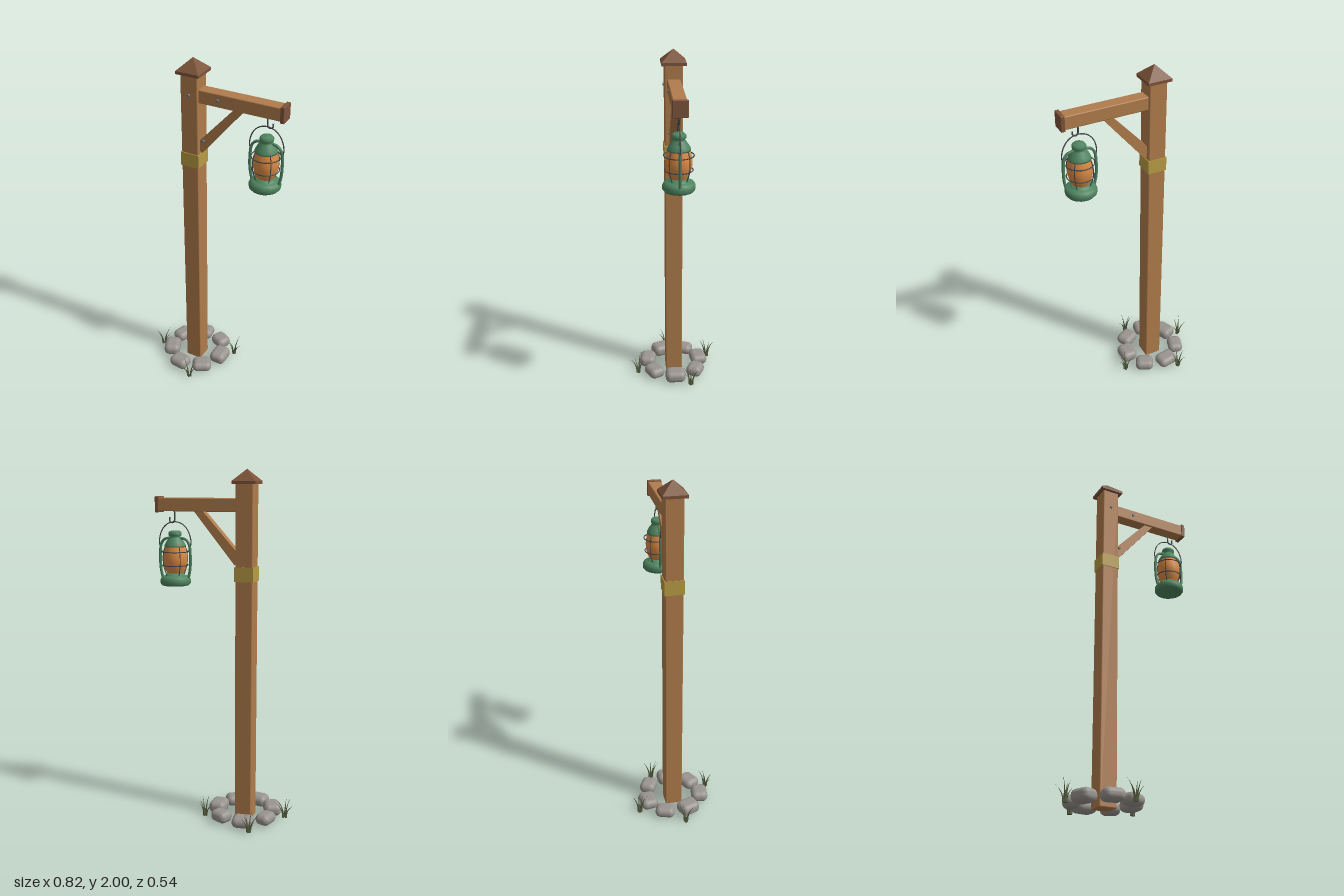
import * as THREE from 'three';
import { RoundedBoxGeometry } from 'three/addons/geometries/RoundedBoxGeometry.js';

const mat = (name, color) => {
  const m = new THREE.MeshStandardMaterial({ color });
  m.name = name;
  return m;
};
const V = (x, y, z = 0) => new THREE.Vector3(x, y, z);

export function createModel() {
  const wood = mat('wood', 0xb07c4c);
  const darkWood = mat('dark wood', 0x7d543a);
  const brass = mat('brass', 0xb89c45);
  const green = mat('green enamel', 0x4f8560);
  const amber = mat('amber glass', 0xd98a45);
  const iron = mat('iron', 0x45494c);
  const steel = mat('bolt steel', 0x6d7680);
  const stone = mat('stone', 0x99948f);
  const grass = mat('grass', 0x566040);

  const model = new THREE.Group();
  model.name = 'lanternPost';
  const add = (parent, name, geometry, material, x = 0, y = 0, z = 0) => {
    const m = new THREE.Mesh(geometry, material);
    m.name = name;
    m.position.set(x, y, z);
    parent.add(m);
    return m;
  };
  const box = (w, h, d, r = 0.006) => new RoundedBoxGeometry(w, h, d, 1, r);
  const lathe = (pts, n = 16) => new THREE.LatheGeometry(pts.map(p => new THREE.Vector2(...p)), n);
  const tube = (pts, r, n = 24) =>
    new THREE.TubeGeometry(new THREE.CatmullRomCurve3(pts), n, r, 6);

  // Timber frame
  const frame = new THREE.Group();
  frame.name = 'timberFrame';
  frame.position.set(-0.122, 0, -0.008);
  model.add(frame);
  add(frame, 'post', box(0.1, 1.925, 0.1), wood, 0, 0.9625);
  add(frame, 'capRim', new THREE.BoxGeometry(0.134, 0.016, 0.134), darkWood, 0, 1.928);
  const roof = new THREE.ConeGeometry(0.067 * Math.SQRT2, 0.064, 4, 1).toNonIndexed();
  roof.rotateY(Math.PI / 4);
  roof.computeVertexNormals();
  add(frame, 'capRoof', roof, darkWood, 0, 1.968);
  add(frame, 'brassBand', new THREE.BoxGeometry(0.108, 0.08, 0.108), brass, 0, 1.435);
  add(frame, 'beam', box(0.48, 0.074, 0.072), wood, 0.277, 1.808);
  add(frame, 'beamEnd', box(0.023, 0.088, 0.08, 0.004), darkWood, 0.519, 1.808);

  // Diagonal brace, its ends cut flush with post and beam
  const cut = new THREE.Shape([[0.045, 1.55], [0.045, 1.495], [0.062, 1.482], [0.302, 1.775], [0.249, 1.775]]
    .map(p => new THREE.Vector2(...p)));
  add(frame, 'brace', new THREE.ExtrudeGeometry(cut, { depth: 0.05, bevelEnabled: false }), wood, 0, 0, -0.025);

  // Bolts on the front faces
  for (const [x, y, z] of [[0, 1.81, 0.05], [0.159, 1.81, 0.036], [0.069, 1.555, 0.025]]) {
    const b = add(frame, 'bolt', new THREE.CylinderGeometry(0.008, 0.01, 0.01, 8), steel, x, y, z + 0.003);
    b.rotation.x = Math.PI / 2;
  }

  // Lantern
  const lantern = new THREE.Group();
  lantern.name = 'lantern';
  lantern.position.set(0.304, 0, -0.008);
  model.add(lantern);
  add(lantern, 'lanternBase', lathe([[0, 1.355], [0.078, 1.355], [0.086, 1.365], [0.087, 1.385],
    [0.08, 1.4], [0.066, 1.408], [0.05, 1.412], [0.048, 1.425], [0, 1.425]]), green);
  add(lantern, 'glass', lathe([[0.043, 1.415], [0.058, 1.445], [0.068, 1.485], [0.069, 1.515],
    [0.064, 1.55], [0.053, 1.585]]), amber);
  add(lantern, 'hood', lathe([[0, 1.572], [0.062, 1.572], [0.061, 1.58], [0.052, 1.598], [0.035, 1.622],
    [0.03, 1.63], [0.037, 1.636], [0.038, 1.65], [0.03, 1.66], [0, 1.664]]), green);
  for (const s of [-1, 1]) {
    add(lantern, 'sideTube', tube([V(s * 0.079, 1.395), V(s * 0.09, 1.45), V(s * 0.092, 1.53),
      V(s * 0.084, 1.59), V(s * 0.062, 1.615), V(s * 0.028, 1.622)], 0.008), green);
  }

  // Wire guard around the glass
  for (const [y, r] of [[1.545, 0.078], [1.468, 0.073]]) {
    const ring = add(lantern, 'guardRing', new THREE.TorusGeometry(r, 0.003, 6, 24), iron, 0, y);
    ring.rotation.x = Math.PI / 2;
  }
  for (let i = 0; i < 4; i++) {
    const wire = add(lantern, 'guardWire', tube([V(0.052, 1.41), V(0.069, 1.46), V(0.074, 1.505),
      V(0.069, 1.55), V(0.057, 1.58)], 0.0028, 12), iron);
    wire.rotation.y = Math.PI / 4 + i * Math.PI / 2;
  }

  // Carrying bail and hook
  add(lantern, 'bail', tube([V(-0.088, 1.555), V(-0.097, 1.6), V(-0.08, 1.663), V(-0.045, 1.7), V(0, 1.712),
    V(0.045, 1.7), V(0.08, 1.663), V(0.097, 1.6), V(0.088, 1.555)], 0.0032, 36), iron);
  add(lantern, 'hook', tube([V(0.002, 1.78), V(0, 1.735), V(0.003, 1.715), V(0.015, 1.706),
    V(0.03, 1.715), V(0.032, 1.737)], 0.0042), iron);

  // Ring of stones: x, z, width, depth, turn
  const stones = [
    [-0.16, -0.165, 0.125, 0.1, 0.15], [-0.02, -0.137, 0.11, 0.095, -0.45], [0.04, -0.01, 0.1, 0.122, 0],
    [-0.022, 0.115, 0.118, 0.1, 0.5], [-0.155, 0.153, 0.118, 0.098, -0.12],
    [-0.267, 0.06, 0.1, 0.122, 0.4], [-0.27, -0.08, 0.09, 0.115, -0.3],
  ];
  stones.forEach(([x, z, w, d, turn], i) => {
    const h = 0.064 + 0.004 * (i % 3);
    const g = new RoundedBoxGeometry(1, 1, 1, 4, 0.36).scale(w, h, d);
    g.computeVertexNormals();
    const s = add(model, 'stone', new RoundedBoxGeometry(w, h, d, 4, 0.031), stone, x, 0.004 + h / 2, z);
    s.rotation.y = turn;
  });

  // Curved tapering blade leaning along +x
  const blade = (reach, height) => {
    const g = new THREE.ConeGeometry(0.0065, 1, 4, 5);
    const p = g.attributes.position;
    for (let i = 0; i < p.count; i++) {
      const t = p.getY(i) + 0.5;
      p.setXYZ(i, p.getX(i) + 0.008 + reach * t * t, height * t * (1.15 - 0.15 * t), p.getZ(i));
    }
    g.computeVertexNormals();
    return g;
  };

  // Grass tufts: x, z, blade directions in degrees
  const tufts = [
    [-0.214, -0.225, [-71, -145, 158, 95, -4, 39]],
    [0.095, -0.102, [-71, 6, 52, 102, 180]],
    [-0.354, 0.027, [-52, -8, 86, 127, 183]],
    [-0.056, 0.215, [-54, -4, 88, 197, 150]],
  ];
  for (const [x, z, angles] of tufts) {
    const tuft = new THREE.Group();
    tuft.name = 'grassTuft';
    tuft.position.set(x, 0.004, z);
    model.add(tuft);
    angles.forEach((a, i) => {
      const b = add(tuft, 'grassBlade', blade(0.045 - 0.006 * (i % 2), 0.12 - 0.018 * ((i * 2) % 3)), grass);
      b.rotation.y = -a * Math.PI / 180;
    });
  }
  return model;
}
